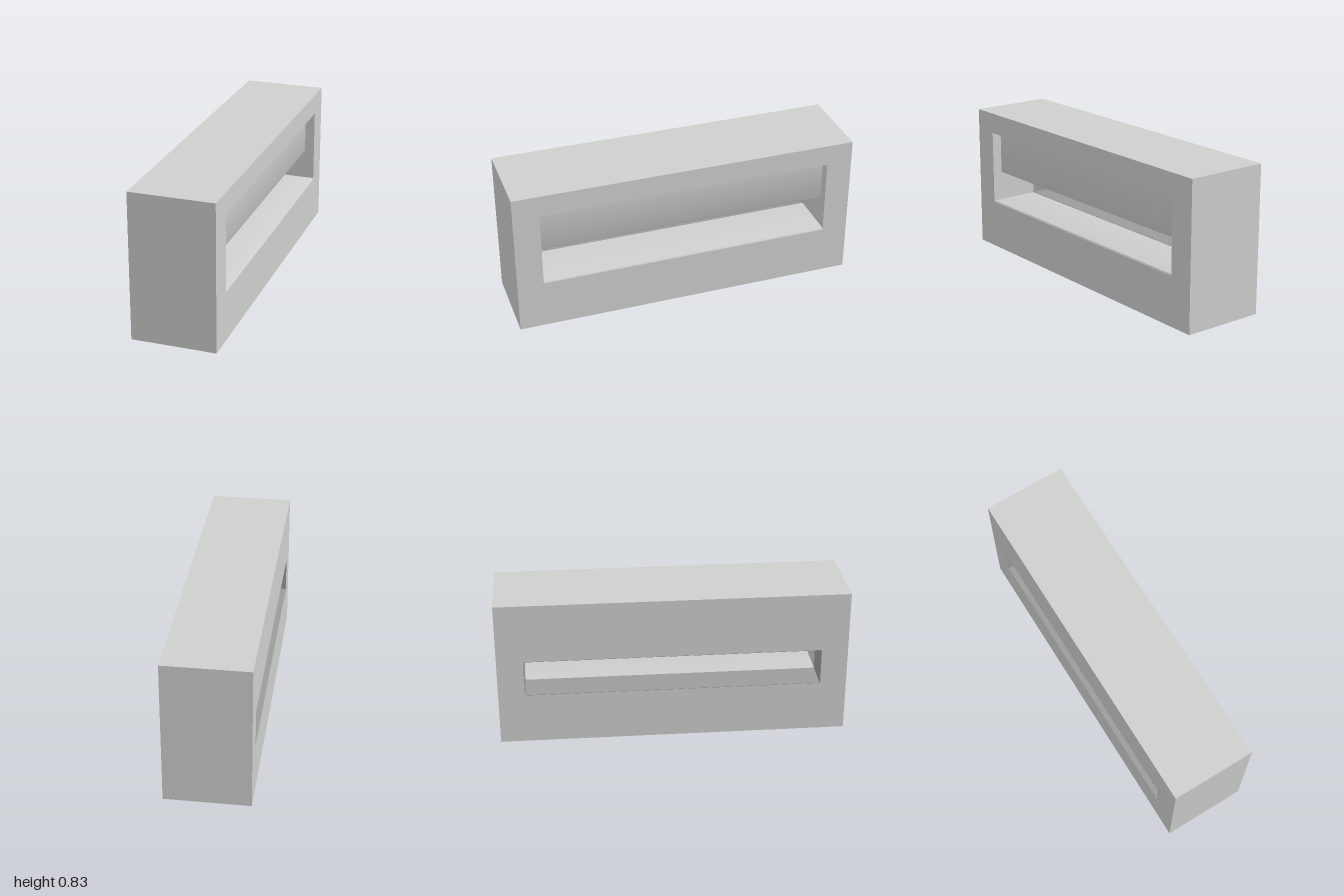
import * as THREE from 'three';
import { toCreasedNormals } from 'three/addons/utils/BufferGeometryUtils.js';

const L = 1.947, W = 0.472, H = 0.832;   // length, thickness, height
const REAR = 0.182;                      // thickness of the rear wall
const OPEN = 1.653;                      // length of the openings
const FLOOR = 0.289, SLOT = 0.457, TOP = 0.712, REAR_TOP = 0.497;
const R = 0.012;                         // edge rounding

const mat = (name, color) => {
  const m = new THREE.MeshStandardMaterial({ color });
  m.name = name;
  return m;
};

function rect(path, w, y0, y1) {
  path.moveTo(-w / 2, y0);
  path.lineTo(w / 2, y0);
  path.lineTo(w / 2, y1);
  path.lineTo(-w / 2, y1);
  path.closePath();
  return path;
}

// Full-size wall with one rectangular opening, spanning x0 to x1
function wall(x0, x1, y0, y1) {
  const shape = rect(new THREE.Shape(), L, 0, H);
  shape.holes.push(rect(new THREE.Path(), OPEN, y0, y1));
  const g = new THREE.ExtrudeGeometry(shape, { depth: x1 - x0, bevelEnabled: false });
  return g.rotateY(Math.PI / 2).translate(x0, 0, 0);
}

// Cross-section run along the length of the opening
function run(shape) {
  const g = new THREE.ExtrudeGeometry(shape, { depth: OPEN, bevelEnabled: false, curveSegments: 6 });
  return toCreasedNormals(g.translate(0, 0, -OPEN / 2), 0.6);
}

export function createModel() {
  const light = mat('lightGrey', 0xcdcfcd);
  const dark = mat('reveal grey', 0x9b9c9b);
  const model = new THREE.Group();
  model.name = 'hollowBlock';
  const add = (name, geometry, material) => {
    const mesh = new THREE.Mesh(geometry, material);
    mesh.name = name;
    model.add(mesh);
    return mesh;
  };

  const back = -W / 2, front = W / 2, split = back + REAR;

  // Housing and rear wall
  add('frontHousing', wall(split, front, FLOOR - R, TOP), light);
  add('rearWall', wall(back, split, FLOOR, REAR_TOP), light);

  // Floor with a rounded front lip
  const floor = new THREE.Shape();
  floor.moveTo(split, FLOOR - R);
  floor.lineTo(front, FLOOR - R);
  floor.absarc(front - R, FLOOR - R, R, 0, Math.PI / 2, false);
  floor.lineTo(split, FLOOR);
  floor.closePath();
  add('floor', run(floor), light);

  // Hanging panel with a rounded lower edge
  const p1 = front - 0.057, p0 = p1 - 0.042;
  const panel = new THREE.Shape();
  panel.moveTo(p0, TOP);
  panel.lineTo(p0, SLOT + R);
  panel.absarc(p0 + R, SLOT + R, R, Math.PI, Math.PI * 1.5, false);
  panel.absarc(p1 - R, SLOT + R, R, Math.PI * 1.5, Math.PI * 2, false);
  panel.lineTo(p1, TOP);
  panel.closePath();
  add('hangingPanel', run(panel), light);

  // Thin darker lining of the rear opening
  const t = 0.002, mid = (FLOOR + REAR_TOP) / 2, tall = REAR_TOP - FLOOR;
  const cx = (back + split) / 2;
  for (const s of [-1, 1]) {
    add(s < 0 ? 'liningBottom' : 'liningTop', new THREE.BoxGeometry(REAR, t, OPEN), dark)
      .position.set(cx, mid + s * (tall - t) / 2, 0);
    add('liningEnd', new THREE.BoxGeometry(REAR, tall, t), dark)
      .position.set(cx, mid, s * (OPEN - t) / 2);
  }

  // The block stands slightly turned
  model.rotation.y = -0.168;
  const root = new THREE.Group();
  root.name = 'model';
  root.add(model);
  return root;
}
